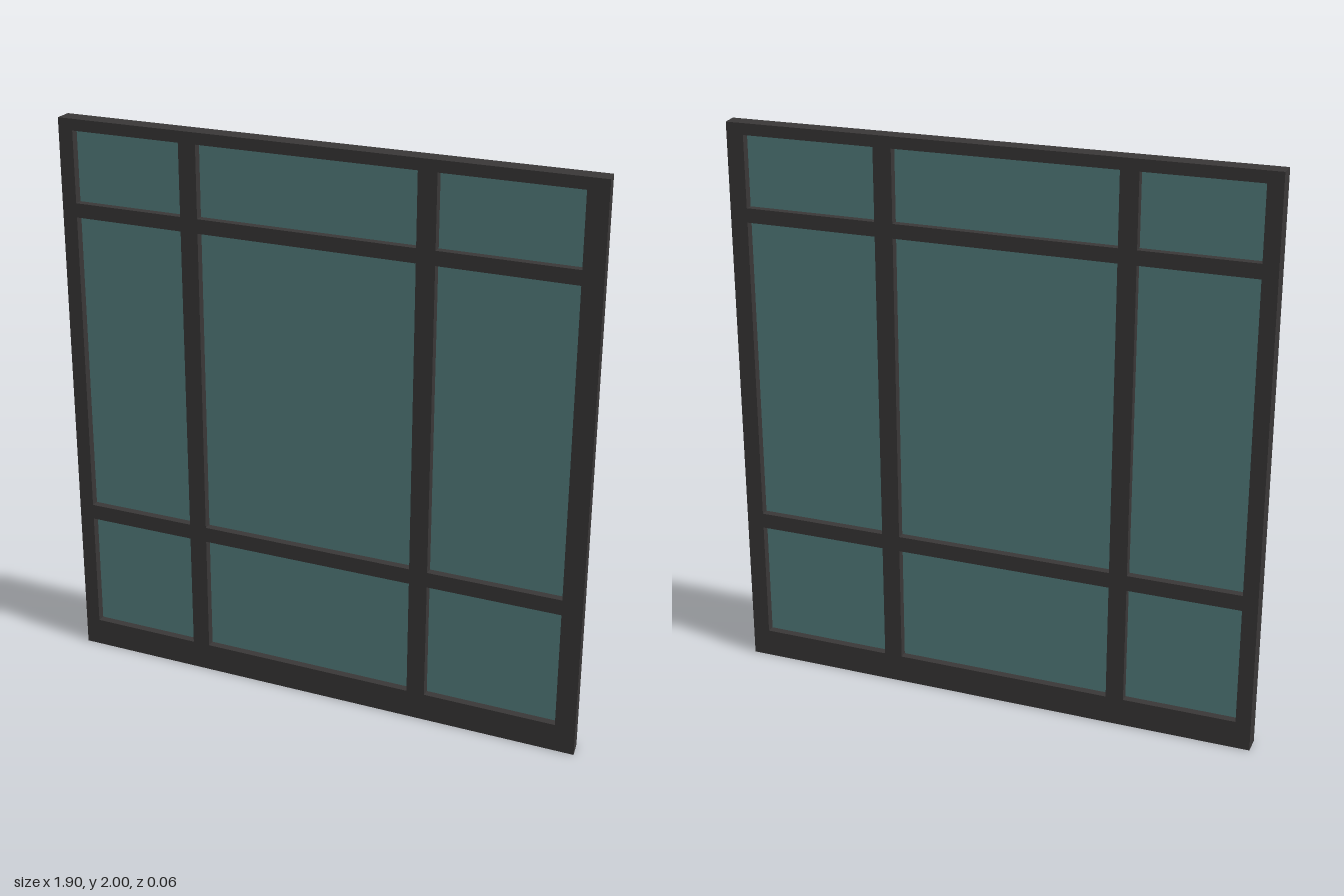
import * as THREE from 'three';

const DEPTH = 0.064;
// Opening spans between the jambs, mullions and rails
const COLUMNS = [[-0.895, -0.497], [-0.434, 0.339], [0.404, 0.877]];
const ROWS = [[0.10, 0.522], [0.577, 1.66], [1.71, 1.96]];

function rectangle(PathType, x0, x1, y0, y1) {
  const p = new PathType();
  p.moveTo(x0, y0);
  p.lineTo(x1, y0);
  p.lineTo(x1, y1);
  p.lineTo(x0, y1);
  p.closePath();
  return p;
}

export function createModel() {
  const model = new THREE.Group();
  model.name = 'window';
  const frameMaterial = new THREE.MeshStandardMaterial({ color: 0x3a3838 });
  const glassMaterial = new THREE.MeshStandardMaterial({ color: 0x568282 });

  // Frame with mullions and rails: one slab pierced by nine openings
  const outline = rectangle(THREE.Shape, -0.948, 0.948, 0, 2);
  const panes = new THREE.Group();
  panes.name = 'glassPanes';
  for (const [x0, x1] of COLUMNS) {
    for (const [y0, y1] of ROWS) {
      outline.holes.push(rectangle(THREE.Path, x0, x1, y0, y1));

      // Thin pane set midway through the frame depth
      const pane = new THREE.Mesh(new THREE.BoxGeometry(x1 - x0, y1 - y0, 0.008), glassMaterial);
      pane.name = 'glassPane';
      pane.position.set((x0 + x1) / 2, (y0 + y1) / 2, 0);
      panes.add(pane);
    }
  }
  const geometry = new THREE.ExtrudeGeometry(outline, { depth: DEPTH, bevelEnabled: false });
  geometry.translate(0, 0, -DEPTH / 2);

  // The left outer edge tapers slightly inward toward the back
  const pos = geometry.attributes.position;
  for (let i = 0; i < pos.count; i++) {
    if (pos.getX(i) > 0.94 && pos.getZ(i) < 0) pos.setX(i, 0.939);
  }
  geometry.computeVertexNormals();

  const frame = new THREE.Mesh(geometry, frameMaterial);
  frame.name = 'frame';
  model.add(frame, panes);
  return model;
}
